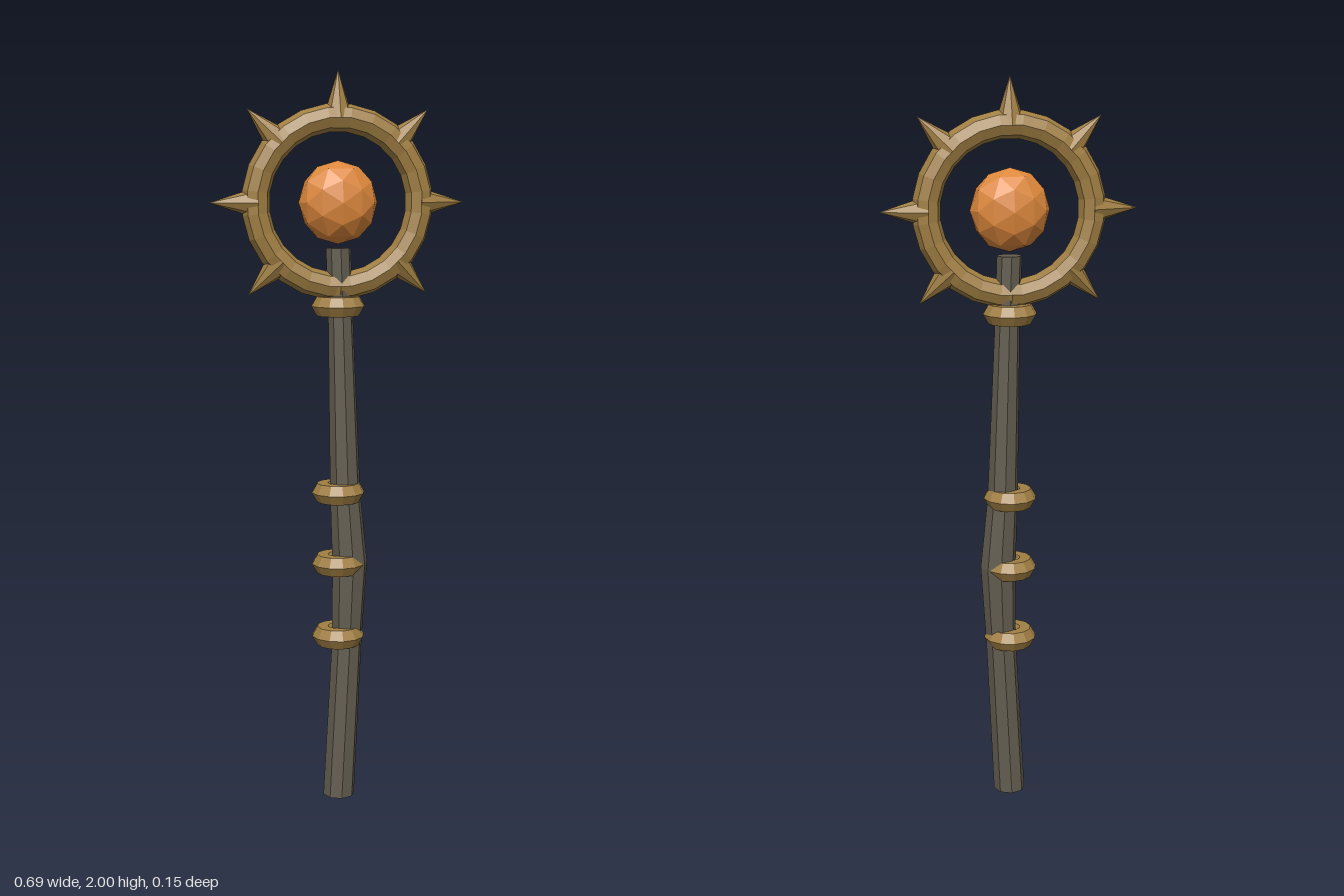
import * as THREE from 'three';

export function createModel() {
  const model = new THREE.Group();
  const material = (name, color, flatShading = true) => {
    const m = new THREE.MeshStandardMaterial({ color, flatShading });
    m.name = name;
    return m;
  };
  const wood = material('dark wood', 0x635d50);
  const brass = material('brass', 0xa17f43);
  const amber = material('amber', 0xdd883c);

  const add = (name, geometry, mat, parent = model) => {
    const mesh = new THREE.Mesh(geometry, mat);
    mesh.name = name;
    parent.add(mesh);
    return mesh;
  };

  // Crooked shaft: rows from top to bottom as [height, centre x, radius]
  const rows = [
    [1.535, 0.001, 0.034], [1.35, 0.007, 0.034], [0.87, 0.02, 0.042],
    [0.67, 0.033, 0.049], [0.45, 0.025, 0.042], [0, 0.002, 0.044],
  ];
  const shaft = new THREE.CylinderGeometry(1, 1, 1, 8, rows.length - 1);
  const p = shaft.attributes.position;
  for (let i = 0; i < p.count; i++) {
    const [y, cx, r] = rows[Math.round((0.5 - p.getY(i)) * (rows.length - 1))];
    p.setXYZ(i, cx + p.getX(i) * r, y, p.getZ(i) * r);
  }
  shaft.computeVertexNormals();
  add('shaft', shaft, wood);

  // Bands around the shaft
  for (const y of [0.465, 0.67, 0.87, 1.38]) {
    const band = add('band', new THREE.TorusGeometry(0.043, 0.03, 6, 12).rotateX(Math.PI / 2), brass);
    band.position.y = y;
  }

  // Head: ring with eight radiating spikes around a floating gem
  const head = new THREE.Group();
  head.name = 'head';
  head.position.y = 1.655;
  model.add(head);
  add('ring', new THREE.TorusGeometry(0.222, 0.037, 8, 24).rotateZ(Math.PI / 24), brass, head);

  const spike = new THREE.ConeGeometry(0.04, 0.125, 8).translate(0, 0.2825, 0);
  for (let i = 0; i < 8; i++) {
    add('spike', spike, brass, head).rotation.z = (i * Math.PI) / 4;
  }

  const gem = add('gem', new THREE.IcosahedronGeometry(1, 1), amber, head);
  gem.scale.set(0.107, 0.11, 0.075);

  return model;
}
